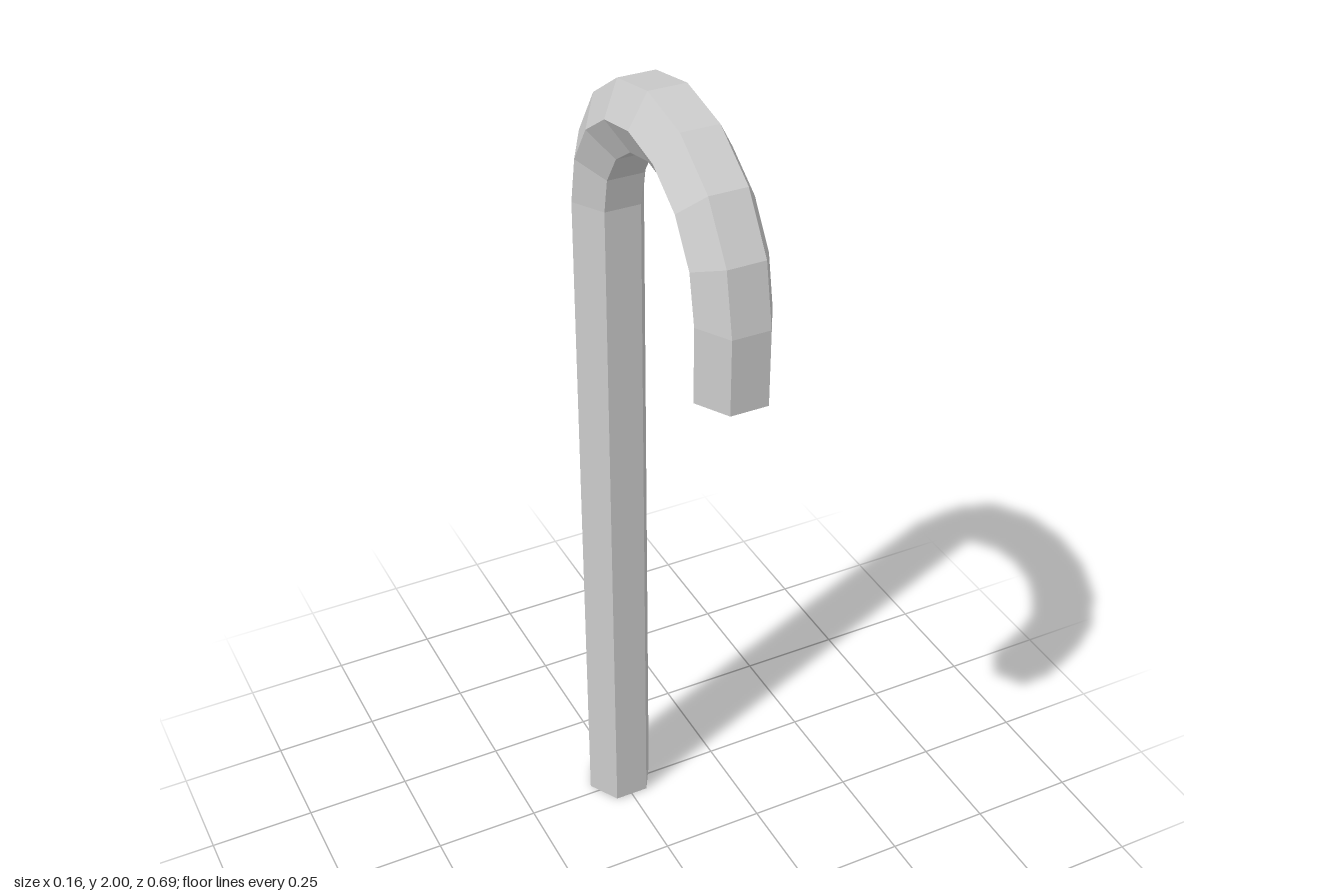
import * as THREE from 'three';

const SIDES = 6, RADIUS = 0.082;           // hexagonal rod
const BEND = 0.274, BEND_Y = 1.655;        // hook centre line
const STEPS = 8, TIP_Y = 1.49;

// Hexagonal ring at an angle around the bend, lifted or dropped by dy
function ring(angle, dy = 0) {
  return Array.from({ length: SIDES }, (_, j) => {
    const t = (j / SIDES) * Math.PI * 2;
    const d = BEND + RADIUS * Math.sin(t);
    return [RADIUS * Math.cos(t), BEND_Y + dy + d * Math.sin(angle), -d * Math.cos(angle)];
  });
}

// Skin a run of rings, with optional flat end caps
function loft(name, rings, capStart, capEnd, material) {
  const index = [];
  for (let i = 0; i < rings.length - 1; i++) {
    for (let j = 0; j < SIDES; j++) {
      const k = (j + 1) % SIDES;
      const a = i * SIDES + j, b = i * SIDES + k;
      index.push(a, b, b + SIDES, a, b + SIDES, a + SIDES);
    }
  }
  const last = (rings.length - 1) * SIDES;
  for (let j = 1; j < SIDES - 1; j++) {
    if (capStart) index.push(0, j + 1, j);
    if (capEnd) index.push(last, last + j, last + j + 1);
  }
  const indexed = new THREE.BufferGeometry();
  indexed.setAttribute('position', new THREE.Float32BufferAttribute(rings.flat(2), 3));
  indexed.setIndex(index);
  const geometry = indexed.toNonIndexed();
  geometry.computeVertexNormals();
  const mesh = new THREE.Mesh(geometry, material);
  mesh.name = name;
  return mesh;
}

export function createModel() {
  const material = new THREE.MeshStandardMaterial({ color: 0xcccccc, flatShading: true });
  const group = new THREE.Group();
  group.name = 'hookedCane';

  // Straight shaft standing on the ground
  group.add(loft('shaft', [ring(0, -BEND_Y), ring(0)], true, false, material));

  // Half-circle handle ending in a short straight tip
  const hook = Array.from({ length: STEPS + 1 }, (_, i) => ring((i / STEPS) * Math.PI));
  hook.push(ring(Math.PI, TIP_Y - BEND_Y));
  group.add(loft('hookHandle', hook, false, true, material));

  return group;
}
